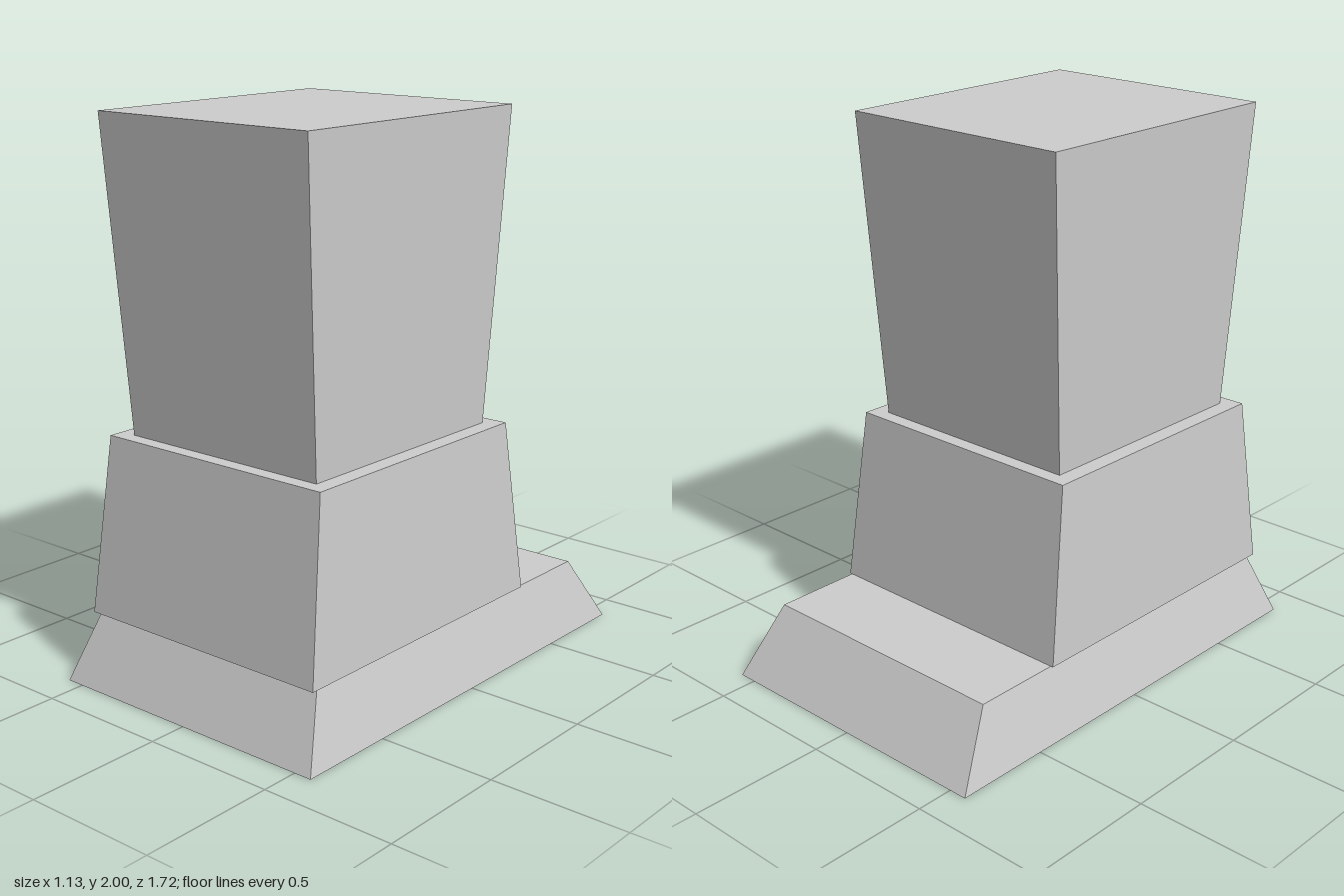
import * as THREE from 'three';

// Box whose bottom and top rectangles differ: each is [halfWidth, backZ, frontZ]
function taperedBlock(name, y0, y1, bottom, top, material) {
  const geometry = new THREE.BoxGeometry(1, 1, 1);
  const p = geometry.attributes.position;
  for (let i = 0; i < p.count; i++) {
    const up = p.getY(i) > 0;
    const [halfWidth, back, front] = up ? top : bottom;
    p.setXYZ(i, Math.sign(p.getX(i)) * halfWidth, up ? y1 : y0, p.getZ(i) > 0 ? front : back);
  }
  geometry.computeVertexNormals();
  const mesh = new THREE.Mesh(geometry, material);
  mesh.name = name;
  return mesh;
}

export function createModel() {
  const stone = new THREE.MeshStandardMaterial({ color: 0xcccccc });
  stone.name = 'light grey stone';

  const group = new THREE.Group();
  group.name = 'pedestal';
  group.add(
    // long sloped foot reaching out behind
    taperedBlock('base', 0, 0.25, [0.567, -0.862, 0.862], [0.5, -0.705, 0.752], stone),
    // plinth narrowing upward
    taperedBlock('plinth', 0.25, 0.887, [0.51, -0.375, 0.783], [0.477, -0.297, 0.705], stone),
    // column widening upward
    taperedBlock('column', 0.887, 2, [0.415, -0.243, 0.652], [0.455, -0.32, 0.727], stone),
  );
  return group;
}
